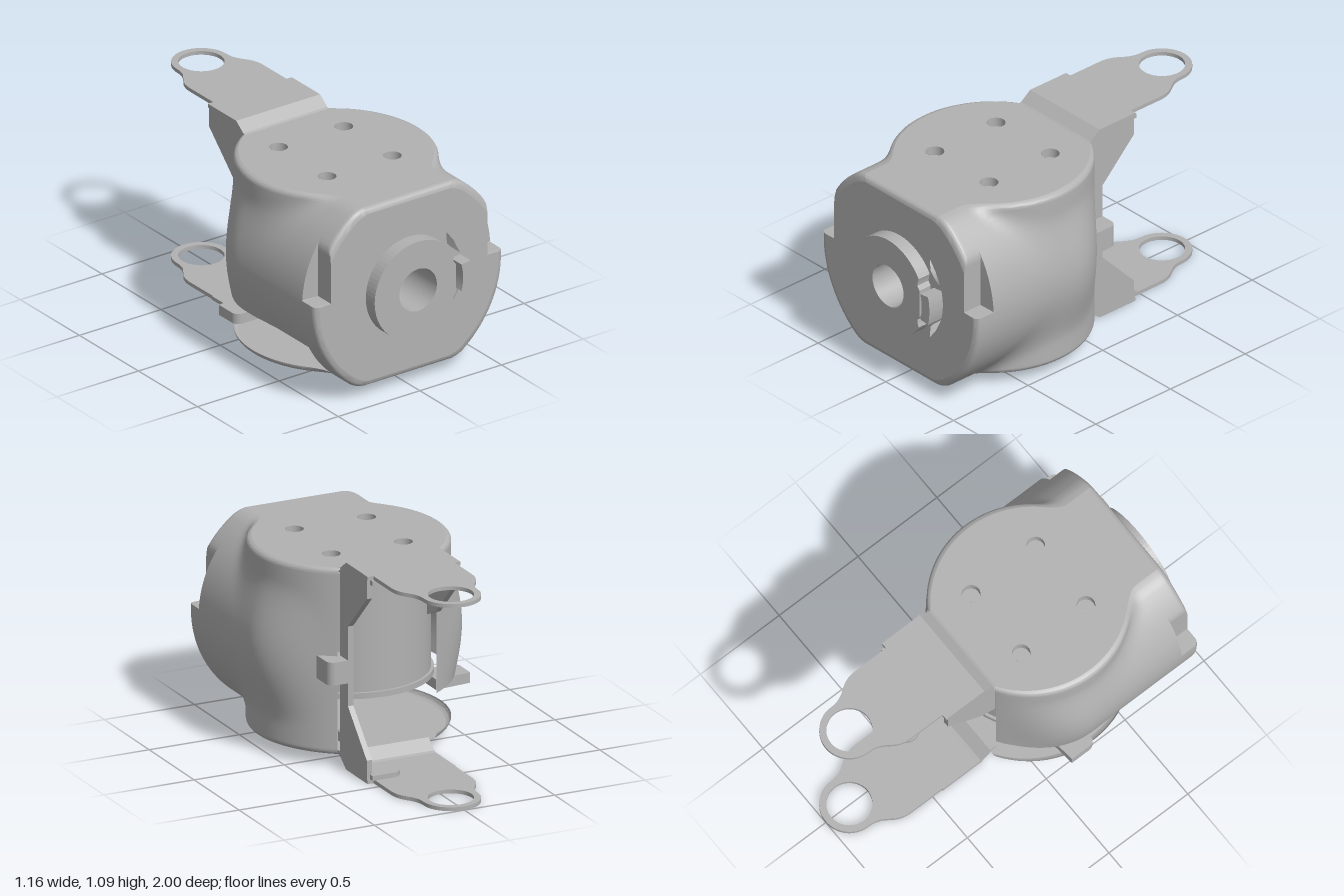
import * as THREE from 'three';
import { toCreasedNormals } from 'three/addons/utils/BufferGeometryUtils.js';

const MID = 0.55, BACK = -0.14, FRONT = 0.91, HALF = 0.49, FILLET = 0.03;

// Quarter-round inset at distance d from an edge
function inset(d) {
  const k = Math.max(0, FILLET - d);
  return FILLET - Math.sqrt(Math.max(0, FILLET * FILLET - k * k));
}
const halfHeight = z => HALF - inset(FRONT - z);

// Housing half-width: upright drum blended into a lying barrel
function halfWidth(z, y) {
  const dy = y - MID;
  const drum = Math.sqrt(Math.max(0, 0.51 ** 2 - (z - 0.29) ** 2));
  const taper = z < 0.25 ? Math.sqrt(Math.max(0, 1 - ((0.25 - z) / 0.4) ** 2)) : 1;
  const barrel = Math.sqrt(0.576 ** 2 - dy * dy) * taper;
  const k = 0.07, h = Math.max(k - Math.abs(drum - barrel), 0) / k;
  let w = Math.max(drum, barrel) + h * h * k / 4;
  w -= inset(FRONT - z) + inset(HALF - Math.abs(dy));
  // stepped front corners
  if (z > 0.8 && y > 0.58) w = Math.min(w, 0.48);
  return w;
}

// Surface over a rows x columns grid, with optional missing cells
function grid(rows, cols, at, skip = () => false) {
  const pos = [], index = [];
  rows.forEach(r => cols.forEach(c => pos.push(...at(r, c))));
  for (let i = 0; i < rows.length - 1; i++) {
    for (let j = 0; j < cols.length - 1; j++) {
      if (skip((rows[i] + rows[i + 1]) / 2, (cols[j] + cols[j + 1]) / 2)) continue;
      const a = i * cols.length + j, b = a + 1, c = a + cols.length, d = c + 1;
      index.push(a, b, c, b, d, c);
    }
  }
  const g = new THREE.BufferGeometry();
  g.setAttribute('position', new THREE.Float32BufferAttribute(pos, 3));
  g.setIndex(index);
  return toCreasedNormals(g, 0.6);
}

const range = (a, b, n) => Array.from({ length: n + 1 }, (_, i) => a + (b - a) * i / n);
const polygon = pts => new THREE.Shape(pts.map(p => new THREE.Vector2(...p)));
const hole = (x, y, r) => new THREE.Path().absarc(x, y, r, 0, Math.PI * 2, true);
const extrude = (shape, depth) =>
  new THREE.ExtrudeGeometry(shape, { depth, bevelEnabled: false, curveSegments: 32 });

export function createModel() {
  const model = new THREE.Group();
  const gray = new THREE.MeshStandardMaterial({ color: 0xb2b2b2, side: THREE.DoubleSide });
  gray.name = 'plain gray';
  const add = (name, geometry, x = 0, y = 0, z = 0) => {
    const mesh = new THREE.Mesh(geometry, gray);
    mesh.name = name;
    mesh.position.set(x, y, z);
    model.add(mesh);
    return mesh;
  };
  // Horizontal sheet: shape is drawn in (x, -z)
  const sheet = (name, shape, y, t) => add(name, extrude(shape, t).rotateX(-Math.PI / 2), 0, y);
  // Upright sheet: shape is drawn in (-z, y), extruded along x
  const upright = (name, pts, x, t) => add(name, extrude(polygon(pts), t).rotateY(Math.PI / 2), x);

  // Housing side walls, with a cable slot low on the right side
  const zs = [...range(BACK, 0.799, 44), ...range(0.801, 0.88, 4), ...range(0.885, FRONT, 6)];
  const offsets = [
    ...range(-HALF, -HALF + FILLET, 6), ...range(-0.45, -0.26, 8), ...range(-0.25, 0.029, 12),
    ...range(0.031, 0.45, 18), ...range(HALF - FILLET, HALF, 6)];
  for (const side of [1, -1]) {
    add(side > 0 ? 'leftWall' : 'rightWall', grid(zs, offsets, (z, d) => {
      const y = MID + d;
      return [side * halfWidth(z, y), MID + d * halfHeight(z) / HALF, z];
    }, (z, d) => side < 0 && z < 0.78 && d > -HALF + FILLET && d < -0.25));
  }

  // Top and bottom caps with screw holes, and their rounded front edges
  const capZ = zs.filter(z => z <= 0.8801);
  const edgeZ = zs.filter(z => z >= 0.8799);
  const screws = [[-0.2, 0.08], [0.2, 0.08], [-0.2, 0.49], [0.2, 0.49]];
  for (const s of [1, -1]) {
    const y = MID + s * HALF, name = s > 0 ? 'top' : 'bottom';
    const right = capZ.map(z => [halfWidth(z, y), -z]);
    const cap = polygon([...right, ...right.map(([x, v]) => [-x, v]).reverse()]);
    const spots = s > 0 ? screws : [[0.13, 0.04]];
    spots.forEach(([x, z]) => cap.holes.push(hole(x, -z, 0.047)));
    add(name + 'Cap', new THREE.ShapeGeometry(cap, 24).rotateX(-Math.PI / 2), 0, y);
    add(name + 'FrontEdge', grid(edgeZ, [-1, 1],
      (z, u) => [u * s * halfWidth(z, y), MID + s * halfHeight(z), z]));
    for (const [x, z] of spots) {
      add('screwHole', new THREE.CylinderGeometry(0.047, 0.047, 0.05, 24, 1, true), x, y - s * 0.025, z);
      if (s > 0) add('screwHoleFloor', new THREE.CircleGeometry(0.047, 24).rotateX(-Math.PI / 2), x, y - 0.05, z);
    }
  }

  // Front face, with a shaft bore and two vent slits
  const rim = offsets.map(d => [halfWidth(FRONT, MID + d), MID + d * halfHeight(FRONT) / HALF]);
  const face = polygon([...rim, ...rim.map(([x, y]) => [-x, y]).reverse()]);
  face.holes.push(hole(0, MID, 0.115));
  for (const s of [1, -1]) {
    face.holes.push(new THREE.Path([[0.228, 0.225], [0.27, 0.17], [0.31, 0.09], [0.25, 0.14], [0.23, 0.165]]
      .map(([x, d]) => new THREE.Vector2(x, MID + s * d))));
  }
  add('frontFace', new THREE.ShapeGeometry(face, 32), 0, 0, FRONT);

  // Shaft boss with two round bites and a key beside it
  const bossPts = range(0.29, Math.PI * 2 - 0.29, 64)
    .map(a => [0.266 * Math.cos(a), 0.266 * Math.sin(a)])
    .map(([x, y]) => {
      const dx = x - 0.255, dy = Math.abs(y) - 0.105, l = Math.hypot(dx, dy);
      return l < 0.04 ? [0.255 - 0.04 * Math.cos(dy / 0.03), y] : [x, y];
    });
  const boss = polygon(bossPts);
  boss.holes.push(hole(0, 0, 0.115));
  add('shaftBoss', extrude(boss, 0.075), 0, MID, FRONT);
  add('shaftBore', new THREE.CylinderGeometry(0.115, 0.115, 0.2, 40, 1, true).rotateX(Math.PI / 2), 0, MID, 0.81);
  add('boreFloor', new THREE.CircleGeometry(0.115, 40), 0, MID, 0.71);
  const key = new THREE.Shape();
  key.absarc(0, 0, 0.322, -0.25, 0.25, false);
  key.absarc(0, 0, 0.265, 0.28, -0.28, true);
  add('shaftKey', extrude(key, 0.09), 0, MID, FRONT);

  // Inner can seen through the open back
  add('innerCan', new THREE.CylinderGeometry(0.41, 0.41, 0.66, 64), 0, 0.65, 0.29);
  add('innerRim', new THREE.CylinderGeometry(0.425, 0.425, 0.03, 64), 0, 0.34, 0.29);

  // Bracket arms, each ending in a ring
  for (const s of [1, -1]) {
    const name = s > 0 ? 'top' : 'bottom', l = s > 0 ? -0.257 : -0.23;
    const arm = polygon([[l, 0.2], [0.257, 0.2], [0.257, 0.44], [0.225, 0.44], [0.225, 0.63]]);
    arm.bezierCurveTo(0.225, 0.75, 0.15, 0.74, 0.15, 0.85);
    arm.absarc(0, 0.85, 0.15, 0, Math.PI, false);
    arm.bezierCurveTo(-0.15, 0.74, -0.225, 0.75, -0.225, 0.63);
    arm.lineTo(-0.225, 0.44);
    arm.lineTo(l, 0.44);
    arm.holes.push(hole(0, 0.85, 0.115));
    sheet(name + 'Arm', arm, s > 0 ? 1.07 : 0, 0.02);
    const f = y => MID + s * (y - MID) - (s < 0 ? 0.01 : 0);
    upright(name + 'ArmBend', [[0.1, f(1.03)], [0.14, f(1.045)], [0.2, f(1.09)], [0.22, f(1.09)],
      [0.22, f(1.07)], [0.2, f(1.065)], [0.14, f(1.015)], [0.1, f(1.015)]], l, 0.257 - l);
    // folded pad under each arm
    const pad = polygon([[0.24, 0.32], [0.24, 0.46], [0.13, 0.46]]);
    pad.absarc(0.13, 0.39, 0.07, Math.PI / 2, Math.PI * 1.5, false);
    sheet(name + 'Pad', pad, s > 0 ? 1.045 : 0.02, 0.025);
  }

  // Bracket sides: a full one on the left, a gusset only on the right
  upright('leftBracketSide', [[0.13, 1.03], [0.2, 1.09], [0.43, 1.09], [0.43, 0.97], [0.22, 0.76],
    [0.22, 0.34], [0.43, 0.12], [0.43, 0], [0.2, 0], [0.13, 0.06]], 0.227, 0.03);
  upright('rightGusset', [[0.13, 1.03], [0.2, 1.09], [0.43, 1.09], [0.43, 0.97], [0.22, 0.76],
    [0.13, 0.72]], -0.257, 0.03);

  // Small side tabs
  const tab = polygon([[0.24, 0.07], [0.36, 0.07], [0.36, 0.18]]);
  tab.absarc(0.32, 0.18, 0.04, 0, Math.PI / 2, false);
  tab.lineTo(0.24, 0.22);
  sheet('leftTab', tab, 0.46, 0.12);
  const ear = polygon([[-0.38, -0.25], [-0.54, -0.25]]);
  ear.absarc(-0.54, -0.21, 0.04, -Math.PI / 2, Math.PI, true);
  ear.lineTo(-0.58, -0.1);
  ear.lineTo(-0.38, -0.08);
  sheet('rightEar', ear, 0.23, 0.055);

  return model;
}
